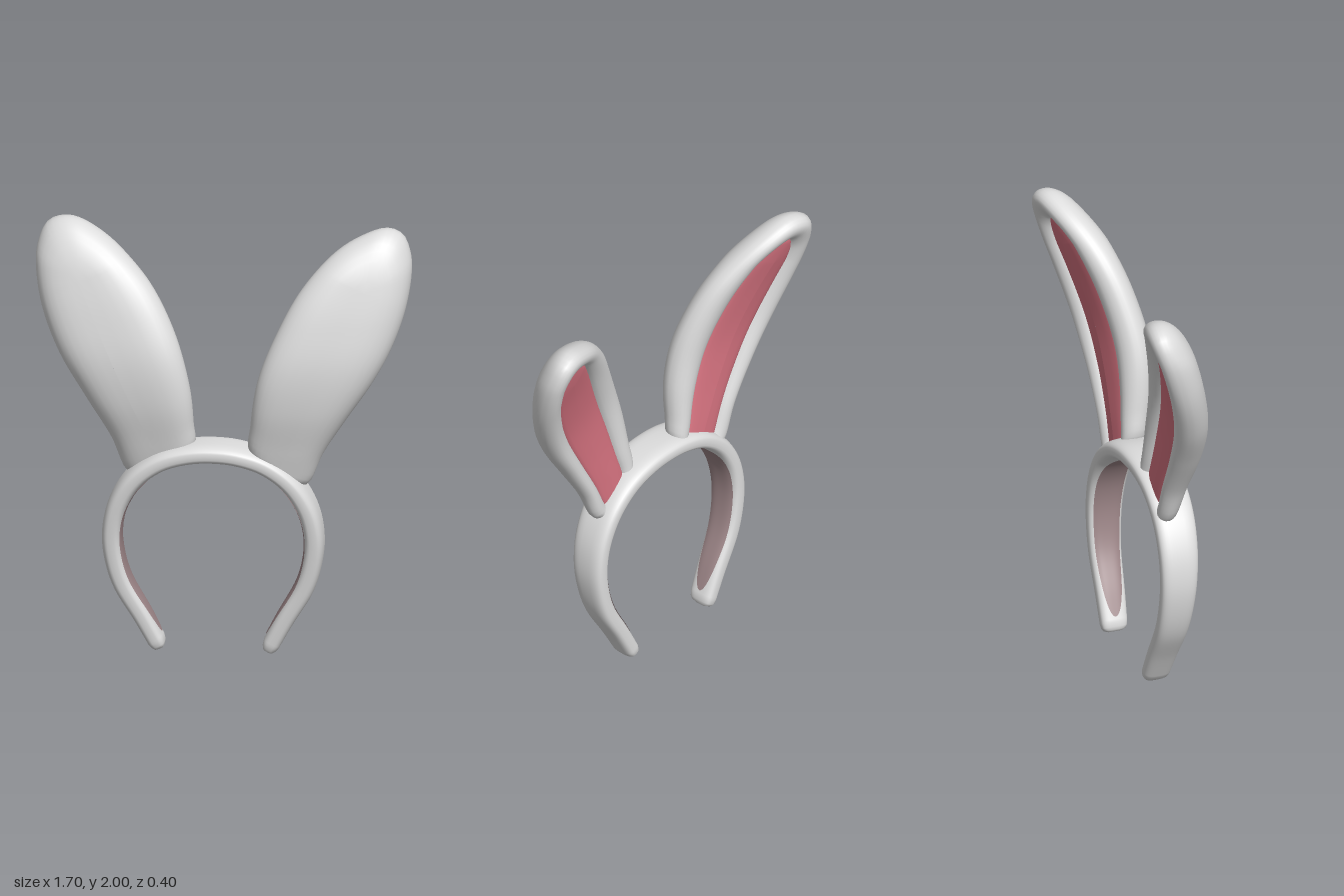
import * as THREE from 'three';

const mat = (name, color) => Object.assign(new THREE.MeshStandardMaterial({ color }), { name });

// Smooth indexed surface from equally long rows of points
function loft(rows, closed) {
  const n = rows[0].length, pos = [], idx = [];
  rows.forEach((row) => row.forEach((p) => pos.push(p.x, p.y, p.z)));
  for (let i = 0; i < rows.length - 1; i++) {
    for (let j = 0; j < (closed ? n : n - 1); j++) {
      const a = i * n + j, b = i * n + (j + 1) % n, c = a + n, d = b + n;
      idx.push(a, c, d, a, d, b);
    }
  }
  const g = new THREE.BufferGeometry();
  g.setAttribute('position', new THREE.Float32BufferAttribute(pos, 3));
  g.setIndex(idx);
  g.computeVertexNormals();
  return g;
}

// Smooth function of height from values at y = 0.8, 1.0 ... 2.0
function byHeight(values) {
  const spline = new THREE.SplineCurve(values.map((v, i) => new THREE.Vector2(i, v)));
  return (y) => spline.getPoint(THREE.MathUtils.clamp((y - 0.8) / 1.2, 0, 1)).y;
}

// Ear outlines seen from the front: up the inner edge, round the tip, down the outer edge
const EAR_LEFT = [[0.13, 0.98], [0.135, 1.12], [0.17, 1.34], [0.25, 1.55], [0.36, 1.75], [0.5, 1.9], [0.62, 1.97],
  [0.73, 2.0], [0.8, 1.97], [0.84, 1.88], [0.845, 1.8], [0.82, 1.64], [0.76, 1.47], [0.68, 1.32], [0.56, 1.14],
  [0.46, 0.98], [0.385, 0.825], [0.34, 0.84], [0.25, 0.91]];
const EAR_RIGHT = [[-0.125, 0.98], [-0.125, 1.1], [-0.14, 1.27], [-0.2, 1.5], [-0.3, 1.7], [-0.4, 1.82], [-0.55, 1.94],
  [-0.7, 2.0], [-0.8, 1.97], [-0.843, 1.88], [-0.85, 1.8], [-0.82, 1.62], [-0.74, 1.42], [-0.62, 1.22], [-0.5, 1.02],
  [-0.425, 0.85], [-0.38, 0.85], [-0.27, 0.92]];

// Depth of the ear's middle, its sideways twist and its fullness
const bend = byHeight([0.05, 0.068, 0.083, 0.075, 0.032, -0.033, -0.11]);
const twist = byHeight([0.02, 0.07, 0.13, 0.18, 0.22, 0.25, 0.25]);
const fullness = byHeight([0.56, 0.74, 0.93, 1, 1, 1, 1]);

// Rings from the front middle, over the edge, round the back rim: [ring size, depth]
const SHELL = [0, 0.2, 0.4, 0.58, 0.72, 0.83, 0.9, 0.95, 0.98, 0.995, 1]
  .map((r) => [r, 0.11 * Math.pow(Math.max(0, 1 - r ** 3.6), 0.52)])
  .concat([[0.99, -0.02], [0.965, -0.036], [0.92, -0.051], [0.86, -0.063], [0.79, -0.069],
    [0.71, -0.07], [0.63, -0.065], [0.56, -0.055], [0.51, -0.042], [0.48, -0.026]]);
const LINING = [[0.5, -0.032], [0.47, -0.039], [0.4, -0.044], [0.25, -0.05], [0, -0.053]];

function makeEar(name, outline, side, shift, turn, fur, pink) {
  const curve = new THREE.CatmullRomCurve3(outline.map(([x, y]) => new THREE.Vector3(x, y, 0)), true, 'centripetal');
  const edge = curve.getSpacedPoints(96).slice(0, 96);
  if (side > 0) edge.reverse();
  const axis = new THREE.Line3(new THREE.Vector3(0.265 * side, 0.915, 0), new THREE.Vector3(0.645 * side, 1.757, 0));
  const spine = edge.map((p) => axis.closestPointToPoint(p, true, new THREE.Vector3()));
  const ring = ([r, depth]) => edge.map((p, j) => {
    const q = spine[j].clone().lerp(p, r);
    const mid = axis.start.x + (q.y - axis.start.y) * 0.451 * side;
    q.z = shift + bend(q.y) - turn * twist(q.y) * (q.x - mid) * side + depth * fullness(q.y);
    return q;
  });
  const ear = new THREE.Group();
  ear.name = name;
  const shell = new THREE.Mesh(loft(SHELL.map(ring), true), fur);
  shell.name = 'earShell';
  const lining = new THREE.Mesh(loft(LINING.map(ring), true), pink);
  lining.name = 'earLining';
  ear.add(shell, lining);
  return ear;
}

// Headband centre line, mirrored about its own middle
const half = [[-0.279, 0.008], [-0.357, 0.16], [-0.45, 0.33], [-0.486, 0.46], [-0.493, 0.58], [-0.465, 0.71],
  [-0.39, 0.835], [-0.275, 0.925], [-0.15, 0.966]];
const bandPoints = [...half, [-0.038, 0.976], ...half.slice().reverse().map(([x, y]) => [-0.076 - x, y])];
const bandCurve = new THREE.CatmullRomCurve3(bandPoints.map(([x, y]) => new THREE.Vector3(x, y, 0)));

// Point on the band: t along it, u outward (-1..1), v toward the front (-1..1)
function bandPoint(t, u, v, lift = 0) {
  const p = bandCurve.getPointAt(t), d = bandCurve.getTangentAt(t);
  const front = 0.064 + 0.105 * p.y, back = -0.057 + 0.02 * p.y;
  const thick = 0.044 - 0.006 * Math.max(0, 1 - p.y / 0.3);
  const w = u * thick + Math.sign(u) * lift;
  return new THREE.Vector3(p.x - d.y * w, p.y + d.x * w, (front + back) / 2 + v * (front - back) / 2);
}

function makeBand(material) {
  const rows = [], steps = 96, sides = 32;
  const power = (c) => Math.sign(c) * Math.pow(Math.abs(c), 2 / 3);
  const row = (t, s) => Array.from({ length: sides }, (_, j) => {
    const a = (-j / sides) * Math.PI * 2;
    return bandPoint(t, power(Math.cos(a)) * s, power(Math.sin(a)) * (0.35 * s + 0.65 * Math.min(1, s * 1.3)));
  });
  const caps = [[0, 0], [0, 0.4], [0.003, 0.68], [0.008, 0.87], [0.016, 1]];
  caps.forEach(([t, s]) => rows.push(row(t, s)));
  for (let i = 2; i < steps - 1; i++) rows.push(row(i / steps, 1));
  caps.reverse().forEach(([t, s]) => rows.push(row(1 - t, s)));
  const mesh = new THREE.Mesh(loft(rows, true), material);
  mesh.name = 'headband';
  return mesh;
}

// Thin grip pad with rounded ends on the inner face of one leg
function makePad(name, t0, t1, material) {
  const rows = [];
  for (let i = 0; i <= 32; i++) {
    const k = -Math.cos((i / 32) * Math.PI);
    const width = 0.78 * Math.sqrt(Math.max(0, 1 - k ** 4));
    rows.push(Array.from({ length: 13 }, (_, j) => {
      const v = width * (j / 6 - 1);
      return bandPoint(t0 + (t1 - t0) * (k + 1) / 2, -Math.cbrt(1 - Math.abs(v) ** 3), v, 0.003);
    }));
  }
  const mesh = new THREE.Mesh(loft(rows, false), material);
  mesh.name = name;
  return mesh;
}

export function createModel() {
  const fur = mat('softWhite', 0xdcdcdc);
  const pink = mat('innerPink', 0xd4727f);
  const grip = mat('gripMauve', 0x9c8587);
  grip.side = THREE.DoubleSide;

  const model = new THREE.Group();
  model.name = 'earHeadband';
  model.add(
    makeBand(fur),
    makePad('rightGripPad', 0.025, 0.375, grip),
    makePad('leftGripPad', 0.625, 0.975, grip),
    makeEar('leftEar', EAR_LEFT, 1, 0, 0.85, fur, pink),
    makeEar('rightEar', EAR_RIGHT, -1, -0.034, 0.55, fur, pink),
  );
  return model;
}
